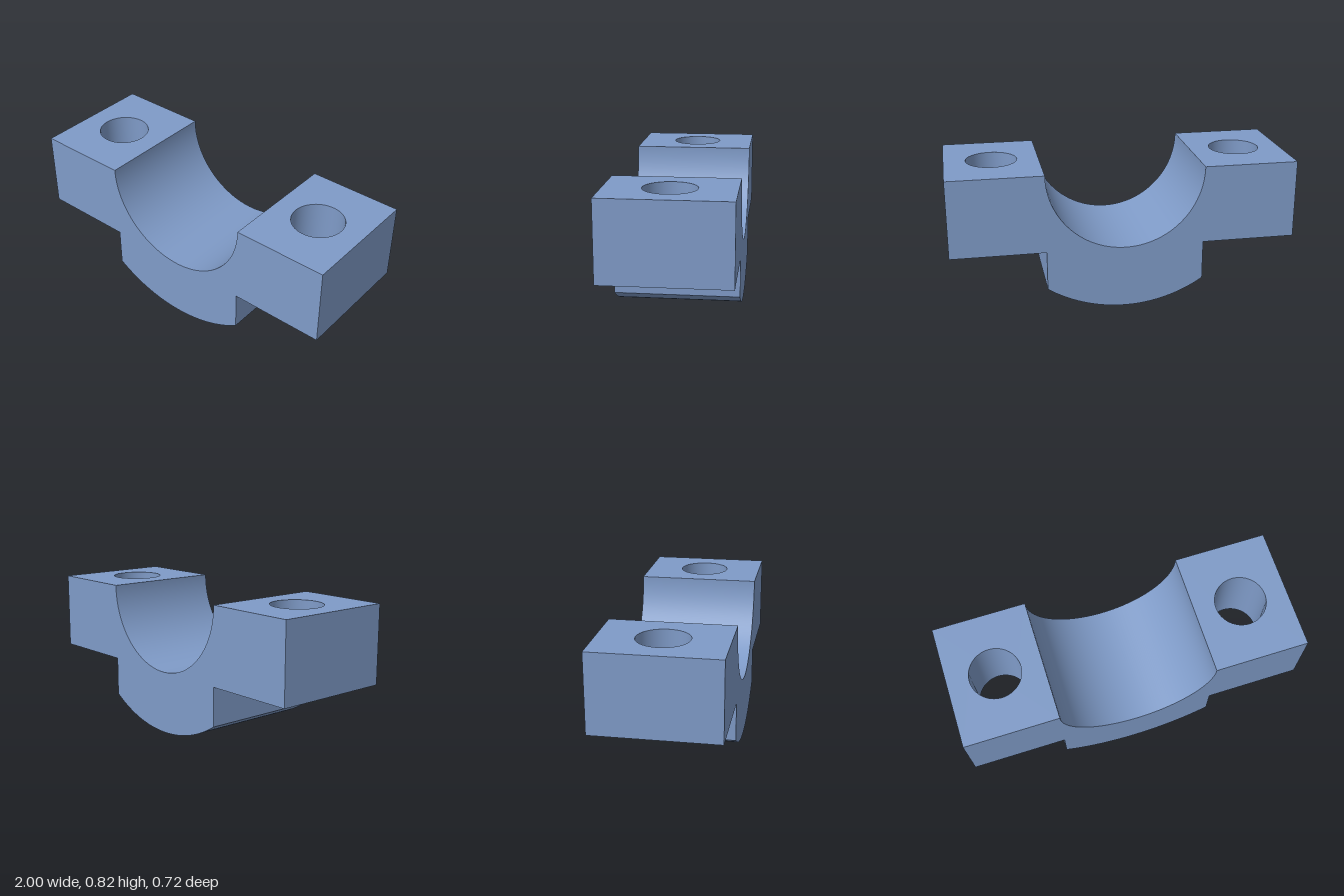
import * as THREE from 'three';
import { toCreasedNormals } from 'three/addons/utils/BufferGeometryUtils.js';

const TOP = 0.82, EAR_BOTTOM = 0.365; // heights of the ears
const BORE = 0.455, OUTER = 0.82;     // saddle radii, both centred on the top plane
const DEPTH = 0.716;
const HOLE_X = 0.726, HOLE_R = 0.148;

// Whole clamp profile extruded front to back, open where the drilled ear faces go
function bodyGeometry() {
  const a = Math.asin(BORE / OUTER);
  const s = new THREE.Shape();
  s.moveTo(-1, TOP);
  s.lineTo(-1, EAR_BOTTOM);
  s.lineTo(-BORE, EAR_BOTTOM);
  s.absarc(0, TOP, OUTER, -Math.PI / 2 - a, -Math.PI / 2 + a, false);
  s.lineTo(BORE, EAR_BOTTOM);
  s.lineTo(1, EAR_BOTTOM);
  s.lineTo(1, TOP);
  s.absarc(0, TOP, BORE, 0, -Math.PI, true);
  s.closePath();
  const solid = new THREE.ExtrudeGeometry(s, { depth: DEPTH, bevelEnabled: false, curveSegments: 64 });
  solid.translate(0, 0, -DEPTH / 2);

  // Drop the level ear faces
  const p = solid.attributes.position, kept = [];
  for (let i = 0; i < p.count; i += 3) {
    const ids = [i, i + 1, i + 2];
    const level = ids.every(j => Math.abs(p.getY(j) - p.getY(i)) < 1e-4);
    const onEar = ids.every(j => Math.abs(p.getX(j)) > BORE - 1e-3);
    if (level && onEar) continue;
    for (const j of ids) kept.push(p.getX(j), p.getY(j), p.getZ(j));
  }
  const g = new THREE.BufferGeometry();
  g.setAttribute('position', new THREE.Float32BufferAttribute(kept, 3));
  return toCreasedNormals(g, 0.5);
}

// Flat ear face with a bolt hole, facing up or down
function earFace(side, up) {
  const x0 = Math.min(side, side * BORE), x1 = Math.max(side, side * BORE), d = DEPTH / 2;
  const s = new THREE.Shape();
  s.moveTo(x0, -d);
  s.lineTo(x1, -d);
  s.lineTo(x1, d);
  s.lineTo(x0, d);
  s.closePath();
  const hole = new THREE.Path();
  hole.absarc(side * HOLE_X, 0, HOLE_R, 0, Math.PI * 2, true);
  s.holes.push(hole);
  const g = new THREE.ShapeGeometry(s, 32);
  g.rotateX(up ? -Math.PI / 2 : Math.PI / 2);
  g.translate(0, up ? TOP : EAR_BOTTOM, 0);
  return g;
}

// Inward-facing wall of a bolt hole
function holeWall(side) {
  const g = new THREE.CylinderGeometry(HOLE_R, HOLE_R, TOP - EAR_BOTTOM, 64, 1, true);
  g.rotateY(Math.PI / 2);
  g.scale(-1, 1, 1); // mirroring turns the faces inward
  g.translate(side * HOLE_X, (TOP + EAR_BOTTOM) / 2, 0);
  return toCreasedNormals(g, 0.5);
}

export function createModel() {
  const model = new THREE.Group();
  model.name = 'bearingClampHalf';
  const steelBlue = new THREE.MeshStandardMaterial({ color: 0x7f9bc8 });
  steelBlue.name = 'steelBlue';

  const add = (parent, name, geometry) => {
    const mesh = new THREE.Mesh(geometry, steelBlue);
    mesh.name = name;
    parent.add(mesh);
  };

  add(model, 'saddleBody', bodyGeometry());

  // Drilled mounting ears
  for (const side of [1, -1]) {
    const ear = new THREE.Group();
    ear.name = side > 0 ? 'leftEar' : 'rightEar';
    add(ear, 'earTop', earFace(side, true));
    add(ear, 'earUnderside', earFace(side, false));
    add(ear, 'boltHole', holeWall(side));
    model.add(ear);
  }
  return model;
}
